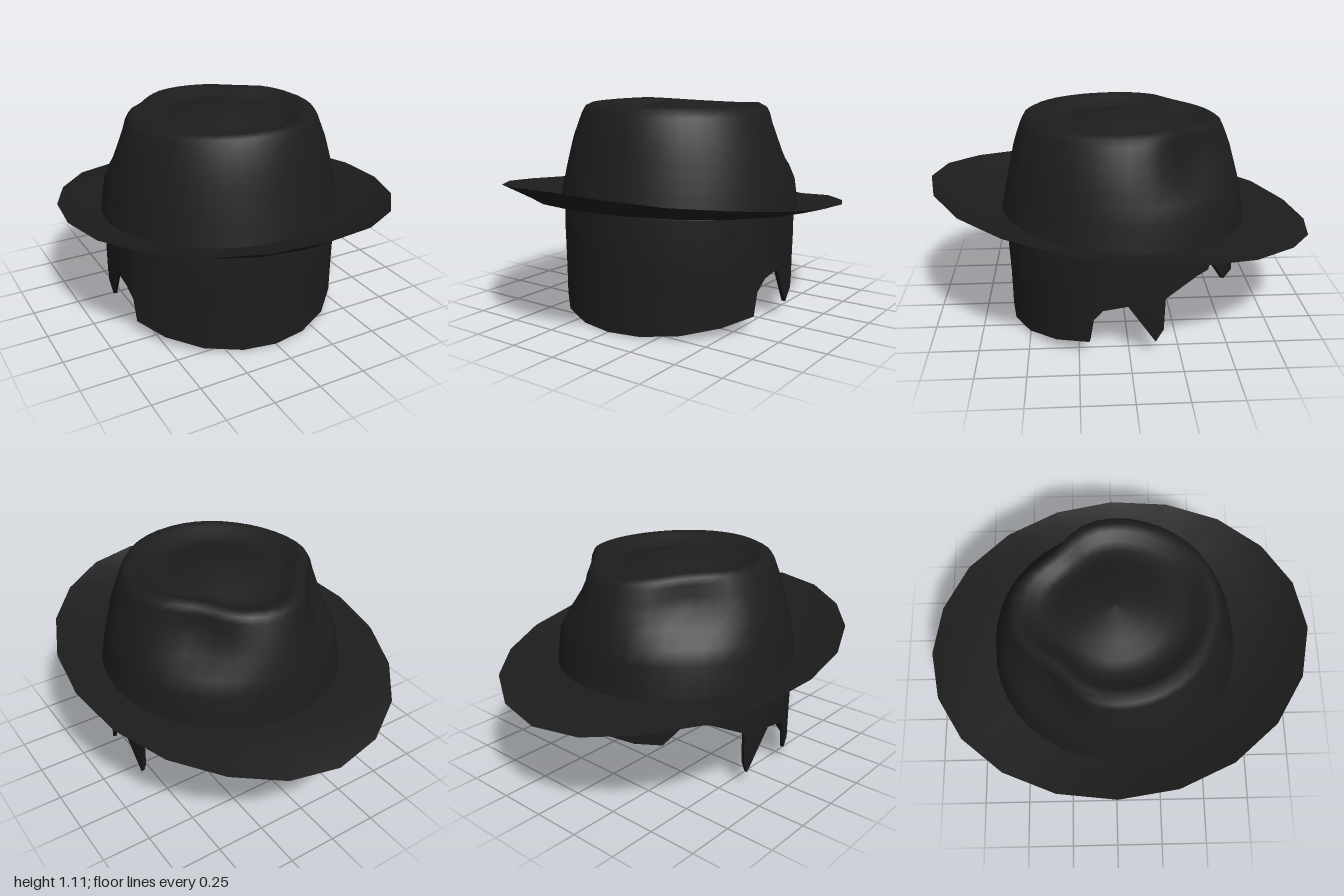
import * as THREE from 'three';

const felt = new THREE.MeshStandardMaterial({ color: 0x1d1d1d, side: THREE.DoubleSide });
felt.name = 'charcoal felt';

// Piecewise-linear lookup in [x, y] pairs with x ascending
function lerpTable(t, x) {
  if (x <= t[0][0]) return t[0][1];
  for (let i = 1; i < t.length; i++) {
    if (x <= t[i][0]) {
      const k = (x - t[i - 1][0]) / (t[i][0] - t[i - 1][0]);
      return t[i - 1][1] + k * (t[i][1] - t[i - 1][1]);
    }
  }
  return t[t.length - 1][1];
}

// Skin of rows x columns; point(row, col) gives [x, y, z], columns wrap round
function skin(name, rows, cols, point) {
  const pos = [], idx = [];
  for (let r = 0; r < rows; r++) for (let c = 0; c < cols; c++) pos.push(...point(r, c));
  for (let r = 0; r < rows - 1; r++) {
    for (let c = 0; c < cols; c++) {
      const a = r * cols + c, b = r * cols + (c + 1) % cols;
      idx.push(a, b, b + cols, a, b + cols, a + cols);
    }
  }
  const g = new THREE.BufferGeometry();
  g.setAttribute('position', new THREE.Float32BufferAttribute(pos, 3));
  g.setIndex(idx);
  g.computeVertexNormals();
  const mesh = new THREE.Mesh(g, felt);
  mesh.name = name;
  return mesh;
}

// Height of the seam where crown, brim and face cover meet
const seamY = z => lerpTable([[-0.65, 0.53], [0, 0.562], [0.65, 0.6]], z);

// Brim rises to the front and droops at the back
function makeBrim() {
  const outer = [[-1, 0.47], [-0.95, 0.485], [-0.81, 0.52], [-0.59, 0.547], [-0.31, 0.582],
    [0, 0.615], [0.31, 0.648], [0.59, 0.685], [0.81, 0.715], [0.95, 0.745], [1, 0.76]];
  const middle = [[-0.84, 0.522], [-0.5, 0.545], [0, 0.58], [0.5, 0.618], [0.84, 0.65]];
  const rings = [
    { rx: 0.615, rz: 0.625, y: seamY },
    { rx: 0.73, rz: 0.84, y: z => lerpTable(middle, z) },
    { rx: 0.842, rz: 1, y: z => lerpTable(outer, z) },
  ];
  return skin('brim', 3, 20, (r, c) => {
    const a = (c / 20) * Math.PI * 2, { rx, rz, y } = rings[r];
    const z = rz * Math.cos(a);
    return [rx * Math.sin(a), y(z), z];
  });
}

// Crown: [height, half width, half depth, pinch] from the seam over the rim to the centre
function makeCrown() {
  const rings = [
    [0.56, 0.63, 0.64, 0], [0.7, 0.608, 0.618, 0], [0.77, 0.592, 0.603, 0.04], [0.85, 0.572, 0.585, 0.13],
    [0.93, 0.55, 0.567, 0.18], [1.0, 0.523, 0.545, 0.18], [1.055, 0.502, 0.524, 0.15],
    [1.085, 0.483, 0.508, 0.14], [1.1, 0.445, 0.48, 0.14], [1.085, 0.41, 0.44, 0.14],
    [1.055, 0.37, 0.39, 0.14], [1.04, 0.32, 0.34, 0.12], [1.05, 0.26, 0.27, 0.06],
    [1.075, 0.18, 0.19, 0], [1.095, 0.09, 0.09, 0], [1.107, 0.001, 0.001, 0],
  ];
  const cols = 40;
  return skin('crown', rings.length, cols, (r, c) => {
    const a = (c / cols) * Math.PI * 2;
    const [h, rx, rz, pinch] = rings[r];
    // Two finger dents, one either side of the back
    const fromBack = Math.abs(Math.PI - a);
    const k = 1 - pinch * Math.exp(-(((fromBack - 0.82) / 0.4) ** 2));
    const x = rx * k * Math.sin(a), z = rz * k * Math.cos(a);
    // The rim sinks towards the back and slightly at the sides
    const upper = THREE.MathUtils.smoothstep(h, 0.8, 1.08);
    const sag = upper * (0.12 * Math.max(0, -z - 0.2) + 0.05 * x * x);
    return [x, r === 0 ? seamY(z) : h - sag, z];
  });
}

// Face cover: torn lower edge given as [z, y] from front to back, mirrored left and right
function makeFaceCover() {
  const edge = [[0.61, 0], [0.585, 0.005], [0.5, 0.022], [0.36, 0.05], [0.2, 0.08], [0.18, 0.2],
    [0.13, 0.26], [0.01, 0.28], [-0.13, 0.07], [-0.168, 0.14], [-0.175, 0.31], [-0.34, 0.39],
    [-0.4, 0.4], [-0.41, 0.43], [-0.44, 0.4], [-0.505, 0.29], [-0.57, 0.28], [-0.61, 0.28]];
  const half = edge.map(([z, y]) => [Math.acos(z / 0.61), y]);
  const mirrored = half.slice(1, -1).reverse().map(([a, y]) => [-a, y]);
  const loop = [...half, ...mirrored];
  const depth = [[0, 0.61], [0.2, 0.612], [0.42, 0.622], [0.6, 0.612]];
  const sideLimit = [[0.08, 0.585], [0.27, 0.605], [0.45, 0.609]];

  // Point on the wall at column c, t from top (0) to torn edge (1), inset from outside
  function wall(c, t, inset, rise) {
    const [a, bottom] = loop[c];
    const top = seamY(0.61 * Math.cos(a)) + rise;
    const y = top + (bottom - top) * t;
    const limit = lerpTable(sideLimit, y) - inset;
    const x = THREE.MathUtils.clamp((0.618 - inset) * Math.sin(a), -limit, limit);
    const front = Math.cos(a) > 0 ? lerpTable(depth, y) : 0.603;
    return [x, y, (front - inset) * Math.cos(a)];
  }

  const cover = new THREE.Group();
  cover.name = 'faceCover';
  const thick = 0.02;
  cover.add(
    skin('coverOutside', 7, loop.length, (r, c) => wall(c, r / 6, 0, 0.02)),
    skin('coverLining', 7, loop.length, (r, c) => wall(c, r / 6, thick, 0.06)),
    skin('coverTornEdge', 2, loop.length, (r, c) => wall(c, 1, r * thick, 0)),
  );
  return cover;
}

// Small clasps standing just proud of the cover
function makeClasps() {
  const clasps = new THREE.Group();
  clasps.name = 'clasps';
  for (const side of [-1, 1]) {
    for (const [a, w] of [[1.06, 0.06], [1.58, 0.03]]) {
      const clasp = new THREE.Mesh(new THREE.BoxGeometry(w, 0.07, 0.012), felt);
      clasp.name = 'clasp';
      clasp.position.set(side * 0.607 * Math.sin(a), 0.505, 0.618 * Math.cos(a));
      clasp.rotation.y = side * a;
      clasps.add(clasp);
    }
  }
  return clasps;
}

export function createModel() {
  const hat = new THREE.Group();
  hat.name = 'hatWithFaceCover';
  hat.add(makeBrim(), makeCrown(), makeFaceCover(), makeClasps());
  return hat;
}
